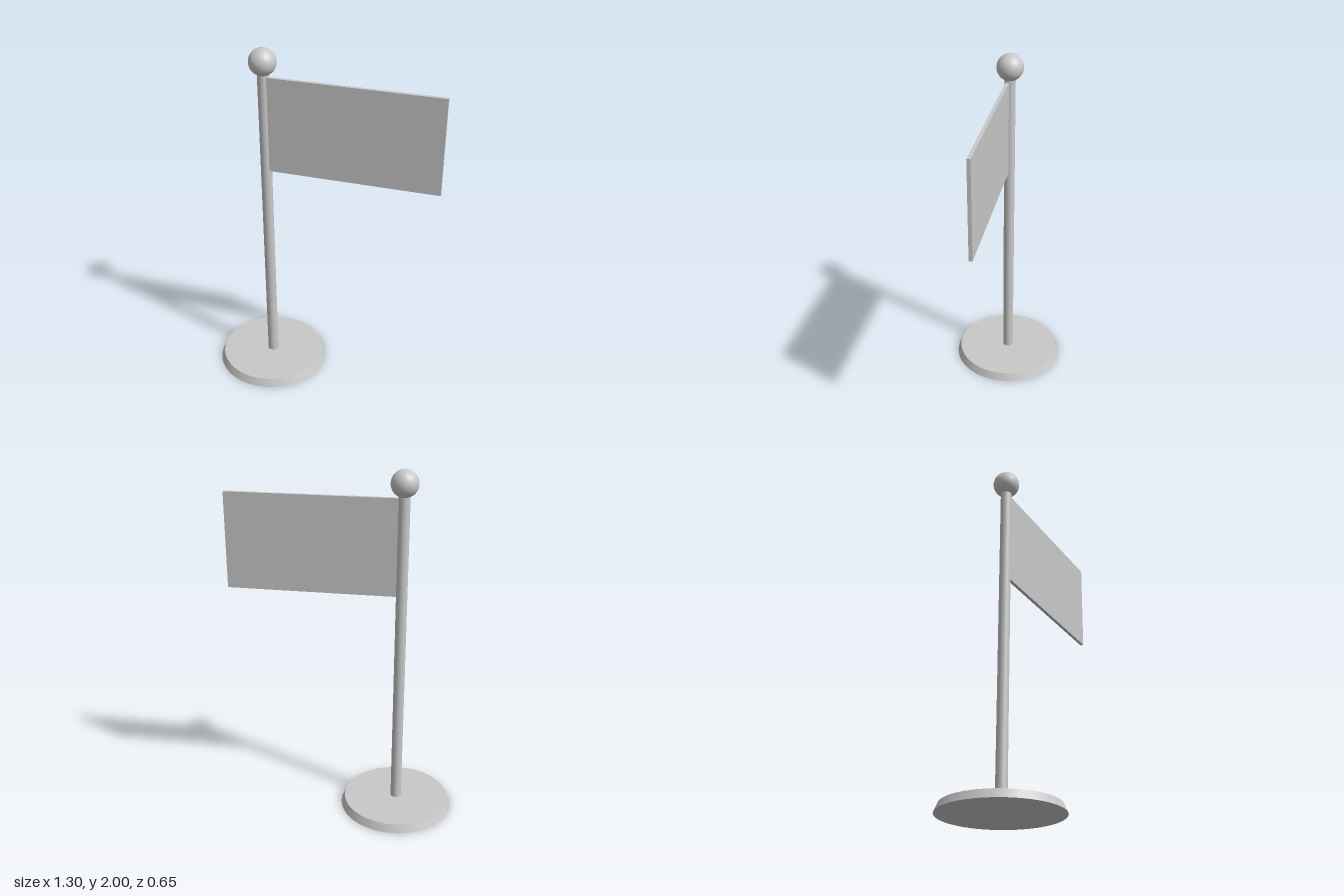
import * as THREE from 'three';

export function createModel() {
  const group = new THREE.Group();
  const grey = new THREE.MeshStandardMaterial({ color: 0xc8c8c8 });
  grey.name = 'light grey';
  const axisX = -0.325; // pole, base and finial share this axis

  const add = (name, geometry, x, y, z = 0) => {
    const mesh = new THREE.Mesh(geometry, grey);
    mesh.name = name;
    mesh.position.set(x, y, z);
    group.add(mesh);
  };

  // Round foot with a sloping rim
  add('base', new THREE.CylinderGeometry(0.305, 0.325, 0.046, 96), axisX, 0.023);

  // Pole from the foot up into the finial
  add('pole', new THREE.CylinderGeometry(0.031, 0.031, 1.83, 48), axisX, 0.955);

  // Ball on top of the pole
  add('finial', new THREE.SphereGeometry(0.074, 48, 32), axisX, 1.926);

  // Flat flag, its back face level with the pole axis
  add('flag', new THREE.BoxGeometry(0.95, 0.541, 0.019), 0.175, 1.5775, 0.0095);

  return group;
}
